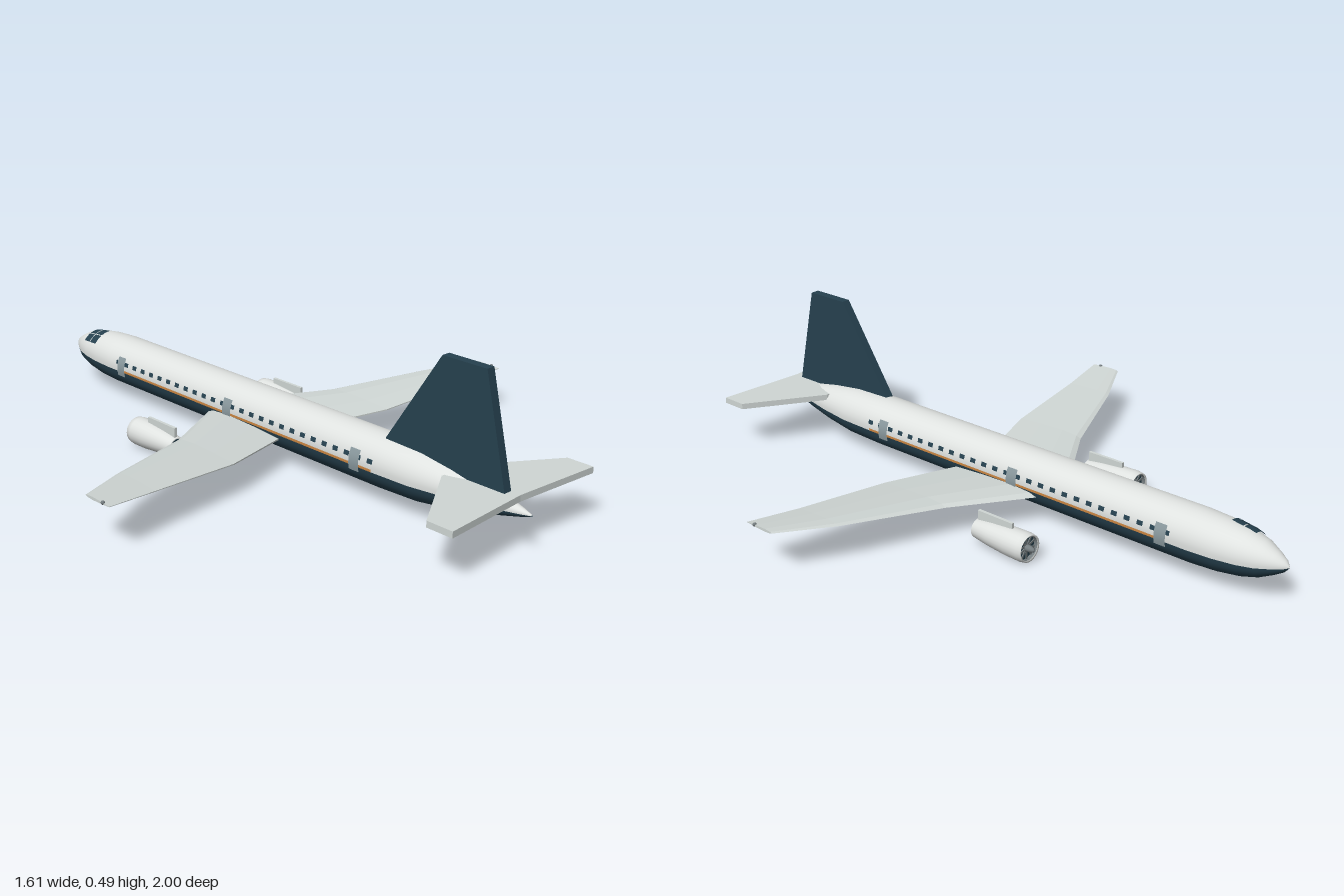
import * as THREE from 'three';

const mat = (name, color) => new THREE.MeshStandardMaterial({ name, color, side: THREE.DoubleSide });

export function createModel() {
  const white = mat('hull white', 0xdfe2e0);
  const silver = mat('wing silver', 0xd0d7d5);
  const navy = mat('navy', 0x26414f);
  const orange = mat('stripe orange', 0xd08a45);
  const grey = mat('door grey', 0x8b9a9f);
  const steel = mat('engine steel', 0x757d80);

  const model = new THREE.Group();
  model.name = 'airliner';
  const add = (name, geometry, material, parent = model) => {
    const mesh = new THREE.Mesh(geometry, material);
    mesh.name = name;
    parent.add(mesh);
    return mesh;
  };

  // Grid of rows of points turned into a surface
  const surface = (rows, flip = false, closed = false) => {
    const n = rows[0].length, index = [];
    for (let i = 0; i < rows.length - 1; i++) {
      for (let j = 0; j < (closed ? n : n - 1); j++) {
        const k = (j + 1) % n;
        const a = i * n + j, b = i * n + k, c = a + n, d = b + n;
        if (flip) index.push(a, c, b, b, c, d);
        else index.push(a, b, c, b, d, c);
      }
    }
    if (closed) {
      const o = (rows.length - 1) * n;
      for (let j = 1; j < n - 1; j++) {
        if (flip) index.push(o, o + j + 1, o + j);
        else index.push(o, o + j, o + j + 1);
      }
    }
    const g = new THREE.BufferGeometry();
    g.setAttribute('position', new THREE.Float32BufferAttribute(rows.flat(2), 3));
    g.setIndex(index);
    return g;
  };

  // Fuselage profile: [z, fraction of full radius]
  const profile = [
    [-1, 0.01], [-0.985, 0.22], [-0.96, 0.41], [-0.92, 0.66], [-0.87, 0.83], [-0.8, 0.95],
    [-0.72, 1], [0.5, 1], [0.64, 0.95], [0.75, 0.77], [0.85, 0.53], [0.93, 0.28], [0.97, 0.15], [1, 0.03],
  ];
  const RX = 0.084, RY = 0.081, CY = 0.12;
  const radiusAt = (z) => {
    let i = 1;
    while (i < profile.length - 1 && profile[i][0] < z) i++;
    const [z0, r0] = profile[i - 1], [z1, r1] = profile[i];
    return r0 + (r1 - r0) * (z - z0) / (z1 - z0);
  };
  // Patch of fuselage skin between two angles and two z positions, raised by off
  const skin = (a0, a1, z0, z1, off = 0, steps = 6) => {
    const zs = [z0, ...profile.map((p) => p[0]).filter((z) => z > z0 && z < z1), z1];
    const g = surface(zs.map((z) => {
      const r = radiusAt(z), row = [];
      for (let j = 0; j <= steps; j++) {
        const a = a0 + (a1 - a0) * j / steps;
        row.push([(RX * r + off) * Math.cos(a), CY + (RY * r + off) * Math.sin(a), z]);
      }
      return row;
    }));
    g.computeVertexNormals();
    return g;
  };

  // Two-tone fuselage
  const edge = -0.13;
  add('upperFuselage', skin(edge, Math.PI - edge, -1, 1, 0, 20), white);
  add('lowerFuselage', skin(Math.PI - edge, Math.PI * 2 + edge, -1, 1, 0, 18), navy);

  // Side details, placed by height and repeated on both sides
  const angle = (y) => Math.asin((y - CY) / RY);
  for (const s of [1, -1]) {
    const side = (name, y0, y1, z0, z1, off, material) => {
      const a = angle(y0), b = angle(y1);
      add(name, s > 0 ? skin(a, b, z0, z1, off, 4) : skin(Math.PI - b, Math.PI - a, z0, z1, off, 4), material);
    };
    side('stripe', 0.111, 0.119, -0.65, 0.51, 0.002, orange);
    for (const z of [0.445, -0.1, -0.64]) side('door', 0.098, 0.159, z - 0.019, z + 0.019, 0.005, grey);
    for (let i = 0; i < 27; i++) {
      const z = 0.503 - i * 0.0447;
      side('window', 0.134, 0.147, z - 0.01, z + 0.01, 0.003, navy);
    }
  }

  // Cockpit panes on one side of the nose
  for (let i = 0; i < 2; i++) {
    for (let j = 0; j < 2; j++) {
      const a = 1.6 + j * 0.48, z = -0.89 + i * 0.041;
      add('cockpitPane', skin(a, a + 0.44, z, z + 0.037, 0.004, 4), navy);
    }
  }

  // Wings: [x, leading z, trailing z, y, thickness]
  const stations = [
    [0.03, -0.22, 0.115, 0.093, 0.032], [0.085, -0.19, 0.13, 0.095, 0.03], [0.32, -0.05, 0.2, 0.106, 0.022],
    [0.63, 0.07, 0.235, 0.129, 0.014], [0.8, 0.155, 0.26, 0.145, 0.009],
  ];
  const airfoil = [[0, 0], [0.07, 0.32], [0.3, 0.5], [0.65, 0.36], [1, 0.08], [1, -0.08], [0.65, -0.36], [0.3, -0.5], [0.07, -0.32]];
  for (const s of [1, -1]) {
    const rows = stations.map(([x, lead, trail, y, t]) =>
      airfoil.map(([u, v]) => [s * x, y + v * t, lead + (trail - lead) * u]));
    const wing = surface(rows, s < 0, true).toNonIndexed();
    wing.computeVertexNormals();
    add(s > 0 ? 'leftWing' : 'rightWing', wing, silver);
    add('wingtipLight', new THREE.SphereGeometry(0.006, 8, 6), steel).position.set(s * 0.798, 0.147, 0.23);
  }

  // Tail surfaces
  const plate = (points, depth) => new THREE.ExtrudeGeometry(
    new THREE.Shape(points.map(([x, y]) => new THREE.Vector2(x, y))), { depth, bevelEnabled: false });
  const fin = plate([[-0.93, 0.155], [-0.51, 0.155], [-0.51, 0.2], [-0.7, 0.49], [-0.85, 0.49]], 0.028);
  fin.rotateY(Math.PI / 2);
  add('tailFin', fin, navy).position.x = -0.026;
  const stabilizer = plate([
    [0, -0.96], [0.295, -0.98], [0.295, -0.895], [0.055, -0.74],
    [-0.055, -0.74], [-0.295, -0.895], [-0.295, -0.98],
  ], 0.019);
  stabilizer.rotateX(-Math.PI / 2);
  add('stabilizer', stabilizer, silver).position.y = 0.147;

  // Engines, local forward is -z
  const lathe = (points, sides) => new THREE.LatheGeometry(
    points.map(([r, y]) => new THREE.Vector2(r, y)), sides).rotateX(-Math.PI / 2);
  for (const s of [1, -1]) {
    const engine = new THREE.Group();
    engine.name = s > 0 ? 'leftEngine' : 'rightEngine';
    engine.position.set(s * 0.265, 0.045, -0.225);
    model.add(engine);
    add('nacelle', lathe([[0.026, -0.1], [0.03, -0.1], [0.038, -0.04], [0.044, 0.03], [0.045, 0.08], [0.042, 0.098], [0.037, 0.095]], 24), white, engine);
    add('intakeWall', lathe([[0.037, 0.095], [0.037, 0.07], [0.026, -0.1]], 24), steel, engine);
    add('fanDisc', new THREE.CylinderGeometry(0.037, 0.037, 0.004, 24).rotateX(Math.PI / 2), navy, engine).position.z = -0.08;
    add('exhaustDisc', new THREE.CylinderGeometry(0.027, 0.027, 0.004, 24).rotateX(Math.PI / 2), navy, engine).position.z = 0.09;
    add('spinner', lathe([[0.011, 0.08], [0.01, 0.1], [0.006, 0.112], [0, 0.116]], 12), steel, engine);
    for (let i = 0; i < 10; i++) {
      const blade = new THREE.BoxGeometry(0.006, 0.028, 0.003).translate(0, 0.023, -0.085);
      blade.rotateZ(i * Math.PI / 5);
      add('fanBlade', blade, steel, engine);
    }
    add('pylon', new THREE.BoxGeometry(0.01, 0.035, 0.13), silver, engine).position.set(0, 0.043, 0.03);
  }
  return model;
}
